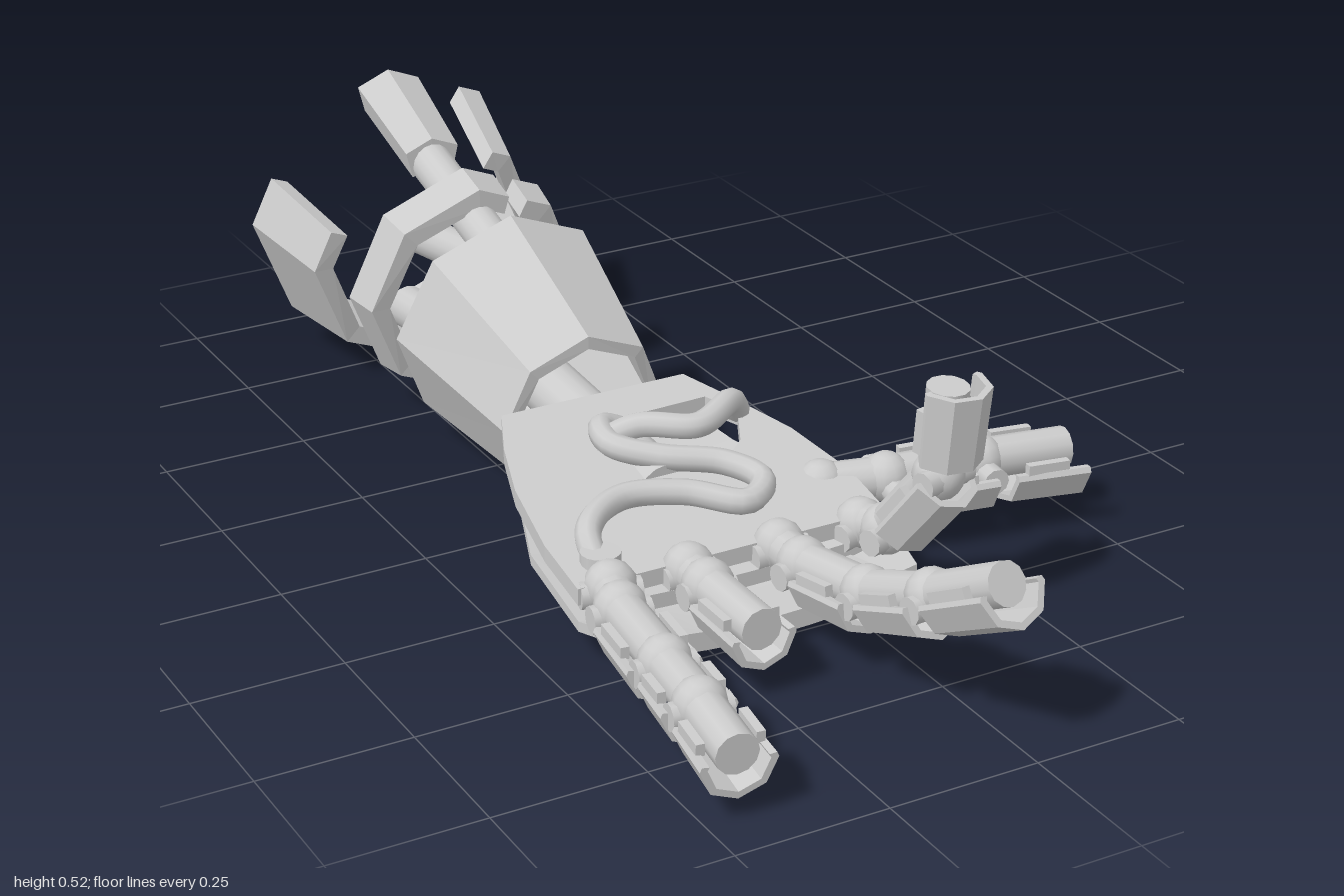
import * as THREE from 'three';

const material = new THREE.MeshStandardMaterial({ color: 0xcccccc, side: THREE.DoubleSide });
const V = (x, y, z) => new THREE.Vector3(x, y, z);
const CX = -0.17; // axis of the forearm

function mesh(name, geometry, parent) {
  const m = new THREE.Mesh(geometry, material);
  m.name = name;
  parent.add(m);
  return m;
}

// Closed skin around a row of matching loops, flat faced, capped at the ends
function skin(loops, closed = false) {
  const pos = [];
  const quad = (a, b, c, d) => [a, b, c, a, c, d].forEach(p => pos.push(p.x, p.y, p.z));
  const n = loops.length, k = loops[0].length;
  for (let i = 0; i < (closed ? n : n - 1); i++) {
    const p = loops[i], q = loops[(i + 1) % n];
    for (let j = 0; j < k; j++) quad(p[j], p[(j + 1) % k], q[(j + 1) % k], q[j]);
  }
  if (!closed) {
    for (let j = 0; j < k / 2 - 1; j++) {
      const s = loops[0], e = loops[n - 1];
      quad(s[j], s[k - 1 - j], s[k - 2 - j], s[j + 1]);
      quad(e[j], e[j + 1], e[k - 2 - j], e[k - 1 - j]);
    }
  }
  const g = new THREE.BufferGeometry();
  g.setAttribute('position', new THREE.Float32BufferAttribute(pos, 3));
  g.computeVertexNormals();
  return g;
}

// Octagonal armour between two rings {x, y, z, r, lean}, over the listed angles
function armour(angles, front, back, t, closed = false) {
  const point = (e, deg, inset) => {
    const a = THREE.MathUtils.degToRad(deg);
    const off = THREE.MathUtils.degToRad((((deg % 45) + 45) % 45) - 22.5);
    const r = (e.r - inset) * Math.cos(Math.PI / 8) / Math.cos(off);
    return V((e.x || 0) + r * Math.cos(a), (e.y || 0) + r * Math.sin(a), e.z + (e.lean || 0) * Math.sin(a));
  };
  return skin(angles.map(d => [point(front, d, 0), point(back, d, 0), point(back, d, t), point(front, d, t)]), closed);
}

function rod(name, a, b, r, parent, sides = 16) {
  const d = b.clone().sub(a);
  const m = mesh(name, new THREE.CylinderGeometry(r, r, d.length(), sides), parent);
  m.position.copy(a).add(b).multiplyScalar(0.5);
  m.quaternion.setFromUnitVectors(V(0, 1, 0), d.normalize());
  return m;
}

// Finger from joint to joint; armour opens towards the palm
function finger(name, points, axis, r, depth, parent) {
  const f = new THREE.Group();
  f.name = name;
  parent.add(f);
  for (let i = 0; i < points.length - 1; i++) {
    const a = points[i], b = points[i + 1];
    const dir = b.clone().sub(a), len = dir.length();
    dir.normalize();
    const open = dir.clone().cross(axis).normalize();
    const side = open.clone().cross(dir);
    const s = new THREE.Group();
    s.name = 'fingerSegment';
    s.position.copy(a);
    s.quaternion.setFromRotationMatrix(new THREE.Matrix4().makeBasis(side, open, dir));
    f.add(s);
    mesh('knuckleBall', new THREE.SphereGeometry(0.042, 12, 8), s).position.y = 0.012;
    rod('fingerCore', V(0, 0.012, 0), V(0, 0.012, len - 0.008), 0.034, s, 12);
    const hinge = rod('hingePin', V(-r * 0.8, 0, 0), V(r * 0.8, 0, 0), 0.022, s, 10);
    hinge.visible = true;
    if (i === 0) continue; // the root link is bare
    const shell = mesh('fingerArmour', armour([172, 180, 225, 270, 315, 360, 368],
      { z: len, r }, { z: 0.035, r: r * 0.95 }, 0.012), s);
    shell.scale.y = depth;
    // raised rails along both edges
    for (const x of [-1, 1]) {
      mesh('armourRail', new THREE.BoxGeometry(0.014, 0.02, len * 0.45), s)
        .position.set(x * (r - 0.014), 0.014, len * 0.55);
    }
  }
}

// Cambered plate from rows [z, left x, right x, top y]
function plate(rows, t, camber) {
  return skin(rows.map(([z, x0, x1, y]) => {
    const top = [], low = [];
    for (let i = 0; i <= 8; i++) {
      const u = i / 8, x = x0 + (x1 - x0) * u;
      const dy = camber * (2 * u - 1) ** 2;
      const thin = i % 8 ? 1 : 0.55;
      top.push(V(x, y + dy, z));
      low.unshift(V(x, y + dy - t * thin, z));
    }
    return [...top, ...low];
  }));
}

export function createModel() {
  const model = new THREE.Group();
  model.name = 'mechanicalHand';

  // Forearm armour
  const arm = new THREE.Group();
  arm.name = 'forearm';
  model.add(arm);
  mesh('wristCuff', armour([0, 45, 90, 135, 180, 225, 270, 315],
    { x: CX, y: 0.153, z: -0.08, r: 0.147, lean: 0.02 },
    { x: CX, y: 0.215, z: -0.38, r: 0.2, lean: 0.04 }, 0.022, true), arm);
  mesh('middleBand', armour([72, 90, 135, 180, 225, 270, 315, 360, 405, 420],
    { x: CX, y: 0.223, z: -0.487, r: 0.197, lean: 0.027 },
    { x: CX, y: 0.229, z: -0.555, r: 0.209, lean: 0.027 }, 0.034), arm);
  const elbowFront = { x: CX, y: 0.232, z: -0.68, r: 0.22, lean: 0.03 };
  const elbowBack = { x: CX, y: 0.265, z: -0.865, r: 0.26, lean: 0.035 };
  mesh('elbowArmour', armour([159, 180, 225, 270, 315, 360, 405, 415], elbowFront, elbowBack, 0.035), arm);
  mesh('elbowTopPanel', armour([76, 90, 104], elbowFront, elbowBack, 0.05), arm);

  // Forearm rods
  rod('upperRod', V(CX, 0.28, -0.2), V(CX, 0.43, -0.75), 0.037, arm);
  rod('longRod', V(-0.06, 0.225, -0.42), V(-0.06, 0.135, -0.995), 0.037, arm);
  rod('lowerRod', V(CX, 0.13, -0.3), V(CX, 0.085, -0.67), 0.037, arm);
  rod('shortRod', V(-0.28, 0.225, -0.3), V(-0.28, 0.2, -0.53), 0.037, arm);
  rod('wristRod', V(CX, 0.13, 0.2), V(CX, 0.16, -0.32), 0.05, arm);

  // Back of the hand and the middle layer
  const palm = new THREE.Group();
  palm.name = 'palm';
  model.add(palm);
  mesh('handBackPlate', plate([[-0.05, -0.32, -0.02, 0.12], [0.06, -0.36, 0.03, 0.08],
    [0.2, -0.41, 0.08, 0.055], [0.42, -0.44, 0.13, 0.05], [0.52, -0.4, 0.1, 0.055]], 0.032, 0.025), palm);
  mesh('middlePlate', plate([[-0.04, -0.31, -0.03, 0.16], [0.08, -0.35, 0.02, 0.12],
    [0.22, -0.4, 0.07, 0.1], [0.44, -0.42, 0.1, 0.095]], 0.025, 0.01), palm);

  // Sloping palm plate with a window
  const shape = new THREE.Shape([[-0.335, -0.05], [0, -0.05], [0.035, 0.03], [0.085, 0.16], [0.11, 0.3],
    [0.105, 0.42], [-0.44, 0.42], [-0.435, 0.3], [-0.41, 0.15], [-0.375, 0.04]].map(p => new THREE.Vector2(...p)));
  shape.holes.push(new THREE.Path([[-0.22, 0.05], [-0.18, 0.03], [0.0, 0.025], [0.03, 0.08],
    [-0.01, 0.16], [-0.06, 0.2], [-0.16, 0.16]].map(p => new THREE.Vector2(...p))));
  const palmTop = z => 0.2 - 0.15 * (z + 0.05);
  const g = new THREE.ExtrudeGeometry(shape, { depth: 0.028, bevelEnabled: false });
  g.rotateX(Math.PI / 2);
  const p = g.attributes.position;
  for (let i = 0; i < p.count; i++) p.setY(i, p.getY(i) + palmTop(p.getZ(i)));
  g.computeVertexNormals();
  mesh('palmPlate', g, palm);

  // Hoses over the palm: [x, z, lift]
  const hose = (name, pts) => mesh(name, new THREE.TubeGeometry(new THREE.CatmullRomCurve3(
    pts.map(([x, z, h]) => V(x, palmTop(z) + h, z))), 60, 0.021, 10), palm);
  hose('longHose', [[-0.38, 0.37, -0.01], [-0.365, 0.31, 0.015], [-0.28, 0.255, 0.018], [-0.18, 0.28, 0.018],
    [-0.1, 0.34, 0.018], [-0.05, 0.3, 0.02], [-0.08, 0.235, 0.02], [-0.17, 0.18, 0.02],
    [-0.225, 0.12, 0.02], [-0.21, 0.06, 0.015], [-0.14, 0.05, -0.02]]);
  hose('shortHose', [[-0.23, 0.08, 0], [-0.17, 0.11, 0.035], [-0.09, 0.16, 0.045], [0, 0.11, 0.04], [0.03, 0.08, 0]]);
  rod('hoseSocket', V(-0.375, 0.1, 0.37), V(-0.375, 0.155, 0.37), 0.032, palm);

  // Fingers and thumb
  const X = V(1, 0, 0);
  finger('littleFinger', [V(-0.385, 0.11, 0.42), V(-0.4, 0.105, 0.48), V(-0.42, 0.105, 0.655),
    V(-0.435, 0.105, 0.785), V(-0.45, 0.095, 0.925)], V(1, 0, 0.1), 0.06, 0.95, model);
  finger('ringFingerStub', [V(-0.25, 0.105, 0.42), V(-0.25, 0.105, 0.48), V(-0.25, 0.105, 0.65)],
    X, 0.055, 0.95, model);
  finger('middleFinger', [V(-0.09, 0.105, 0.42), V(-0.088, 0.105, 0.49), V(-0.07, 0.125, 0.65),
    V(-0.053, 0.185, 0.8), V(-0.032, 0.275, 0.965)], V(1, 0, -0.12), 0.06, 0.95, model);
  finger('indexFinger', [V(0.06, 0.105, 0.42), V(0.075, 0.12, 0.48), V(0.105, 0.255, 0.58),
    V(0.108, 0.415, 0.595)], V(1, 0, -0.25), 0.06, 0.95, model);
  finger('thumb', [V(0.07, 0.11, 0.28), V(0.17, 0.115, 0.315), V(0.335, 0.115, 0.335),
    V(0.497, 0.11, 0.355)], V(0.12, 0, -1), 0.083, 0.8, model);

  return model;
}
